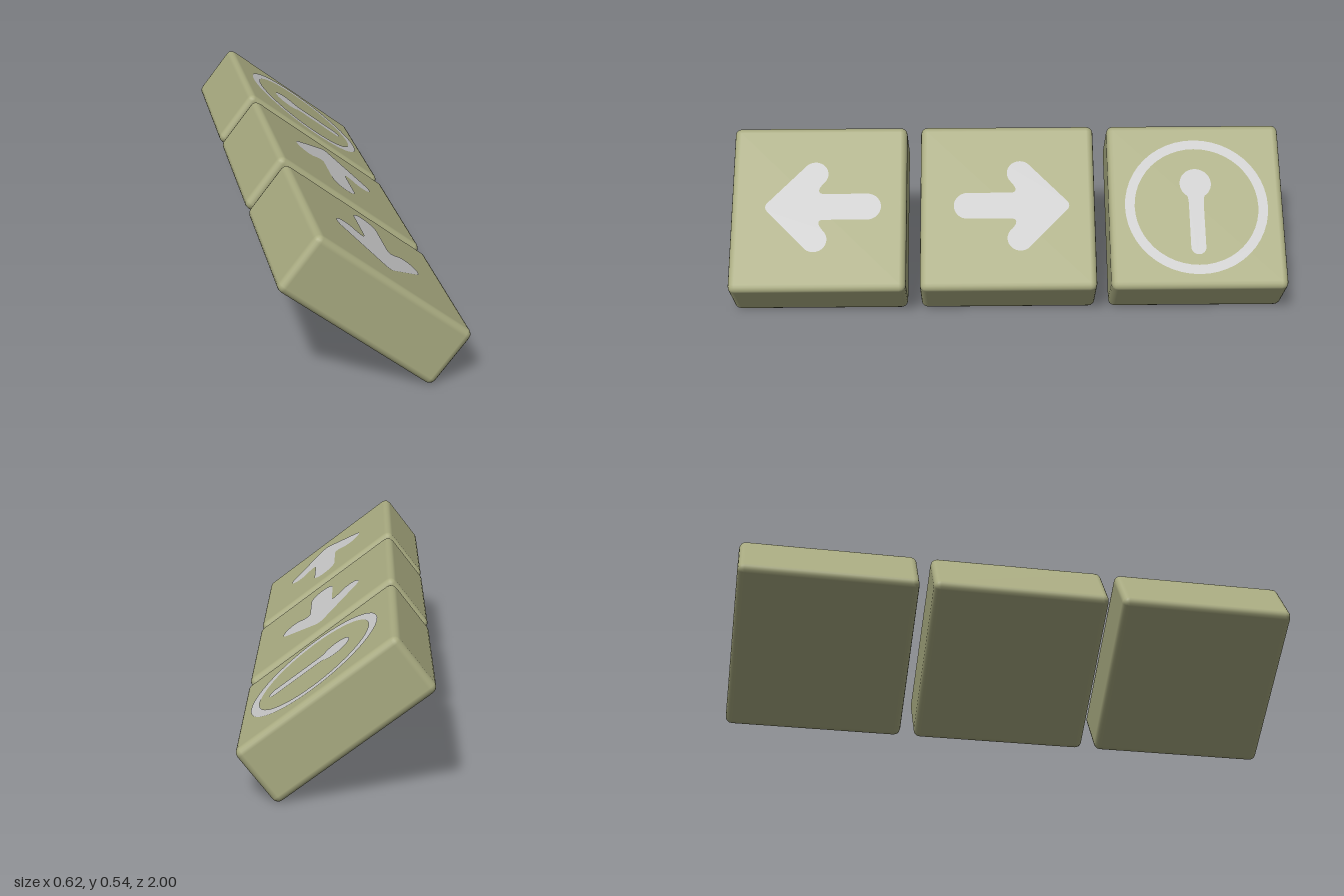
import * as THREE from 'three';
import { RoundedBoxGeometry } from 'three/addons/geometries/RoundedBoxGeometry.js';

const SIZE = 0.633, THICK = 0.222, TILT = -0.655, PITCH = 0.683;

// arrow pointing along +y, centred on its length
function arrowShape() {
  const s = new THREE.Shape();
  s.moveTo(-0.05, -0.165);
  s.absarc(0, -0.16, 0.05, Math.PI, Math.PI * 2);
  s.lineTo(0.05, 0.0);
  s.quadraticCurveTo(0.055, 0.03, 0.09, 0.0);
  s.absarc(0.126, 0.03, 0.047, -2.3, 0.75);
  s.lineTo(0.022, 0.195);
  s.quadraticCurveTo(0, 0.22, -0.022, 0.195);
  s.absarc(-0.126, 0.03, 0.047, Math.PI - 0.75, Math.PI + 2.3);
  s.quadraticCurveTo(-0.055, 0.03, -0.05, 0.0);
  s.closePath();
  return s;
}

function ringShape() {
  const s = new THREE.Shape().absarc(0, 0, 0.259, 0, Math.PI * 2);
  s.holes.push(new THREE.Path().absarc(0, 0, 0.224, 0, Math.PI * 2, true));
  return s;
}

// round knob with a stem along +x
function knobShape() {
  const s = new THREE.Shape();
  s.absarc(-0.085, 0, 0.057, 0.6, Math.PI * 2 - 0.6);
  s.quadraticCurveTo(-0.03, -0.027, 0, -0.027);
  s.lineTo(0.155, -0.027);
  s.absarc(0.16, 0, 0.027, -Math.PI / 2, Math.PI / 2);
  s.lineTo(0, 0.027);
  s.quadraticCurveTo(-0.03, 0.027, -0.038, 0.032);
  return s;
}

export function createModel() {
  const keyMat = new THREE.MeshStandardMaterial({ color: 0xa8aa80 });
  keyMat.name = 'olive plastic';
  const iconMat = new THREE.MeshStandardMaterial({ color: 0xc8c8c8 });
  iconMat.name = 'light grey print';

  const model = new THREE.Group();
  model.name = 'keyRow';
  const keyGeo = new RoundedBoxGeometry(SIZE, THICK, SIZE, 2, 0.024);

  const addKey = (name, z, icons) => {
    const key = new THREE.Group();
    key.name = name;
    key.position.set(0, 0.2725, z);
    key.rotation.z = TILT;
    const cap = new THREE.Mesh(keyGeo, keyMat);
    cap.name = 'keyCap';
    key.add(cap);
    // flat printed symbols lying on the top face
    for (const { label, shape, turn = 0, dx = 0, dz = 0 } of icons) {
      const geo = new THREE.ShapeGeometry(shape, 24).rotateZ(turn).rotateX(-Math.PI / 2);
      const icon = new THREE.Mesh(geo, iconMat);
      icon.name = label;
      icon.position.set(dx, THICK / 2 + 0.002, dz);
      key.add(icon);
    }
    model.add(key);
  };

  const arrow = arrowShape();
  addKey('frontKey', PITCH, [{ label: 'arrowIcon', shape: arrow, turn: Math.PI, dz: -0.015 }]);
  addKey('middleKey', 0, [{ label: 'arrowIcon', shape: arrow, dz: -0.015 }]);
  addKey('backKey', -PITCH, [
    { label: 'ringIcon', shape: ringShape(), dx: 0.008 },
    { label: 'knobIcon', shape: knobShape(), dx: 0.005 },
  ]);
  return model;
}
